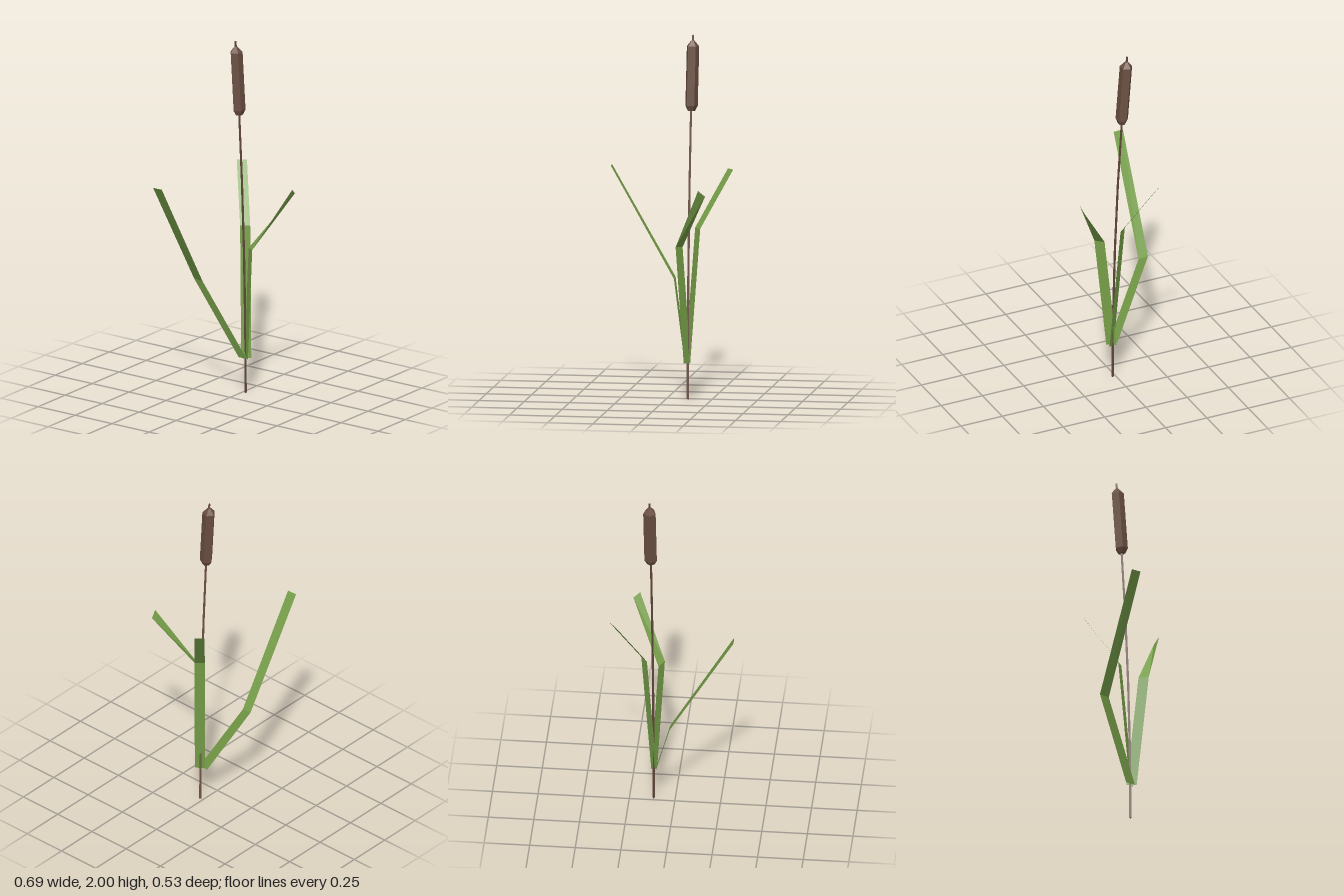
import * as THREE from 'three';

const paint = (color) => new THREE.MeshStandardMaterial({ color, flatShading: true, side: THREE.DoubleSide });

// Centre line of the stalk: upright at the ground, leaning slightly back at the top
const bend = (y) => new THREE.Vector3(0.118 + 0.004 * y * y, y, 0.0185 - 0.02 * y * y);

// Folded strip: each row holds the two edge points of one cross-section
function leafGeometry(rows) {
  const index = [];
  for (let i = 0; i < rows.length - 1; i++) {
    const a = i * 2;
    index.push(a, a + 1, a + 3, a, a + 3, a + 2);
  }
  const geo = new THREE.BufferGeometry();
  geo.setAttribute('position', new THREE.Float32BufferAttribute(rows.flat(2), 3));
  geo.setIndex(index);
  geo.computeVertexNormals();
  return geo;
}

export function createModel() {
  const group = new THREE.Group();
  const green = paint(0x769e48);
  const brown = paint(0x6b5042);
  const add = (name, geo, material) => {
    const mesh = new THREE.Mesh(geo, material);
    mesh.name = name;
    group.add(mesh);
    return mesh;
  };

  // Three-sided stalk, bent along the centre line
  const stalk = new THREE.CylinderGeometry(0.0065, 0.0075, 2, 3, 5, false, Math.PI);
  stalk.translate(0, 1, 0);
  const pos = stalk.attributes.position;
  for (let i = 0; i < pos.count; i++) {
    const c = bend(pos.getY(i));
    pos.setXYZ(i, pos.getX(i) + c.x, c.y, pos.getZ(i) + c.z);
  }
  stalk.computeVertexNormals();
  add('stalk', stalk, brown);

  // Five-sided seed head, tilted with the stalk
  const bottom = bend(1.585), top = bend(1.97);
  const axis = top.clone().sub(bottom);
  const h = axis.length();
  const profile = [[0, 0], [0.021, 0], [0.036, 0.028], [0.036, h - 0.032], [0.009, h], [0, h]]
    .map(([r, y]) => new THREE.Vector2(r, y));
  const head = add('seedHead', new THREE.LatheGeometry(profile, 5, Math.PI), brown);
  head.position.copy(bottom);
  head.quaternion.setFromUnitVectors(new THREE.Vector3(0, 1, 0), axis.normalize());

  // Leaves: base, fold and tip
  const leaves = {
    rightLeaf: [
      [[0.103, 0.2, 0.038], [0.104, 0.2, -0.018]],
      [[0.007, 0.63, -0.192], [0.007, 0.635, -0.249]],
      [[-0.345, 1.245, -0.21], [-0.347, 1.245, -0.267]],
    ],
    leftLeaf: [
      [[0.135, 0.2, 0.045], [0.1, 0.2, 0.002]],
      [[0.184, 0.94, 0.002], [0.149, 0.94, -0.041]],
      [[0.344, 1.25, -0.137], [0.308, 1.25, -0.18]],
    ],
    frontLeaf: [
      [[0.1, 0.2, 0.048], [0.131, 0.2, 0.001]],
      [[0.064, 0.85, 0.103], [0.095, 0.845, 0.056]],
      [[0.214, 1.188, 0.264], [0.251, 1.156, 0.255]],
    ],
  };
  for (const [name, rows] of Object.entries(leaves)) add(name, leafGeometry(rows), green);

  return group;
}
